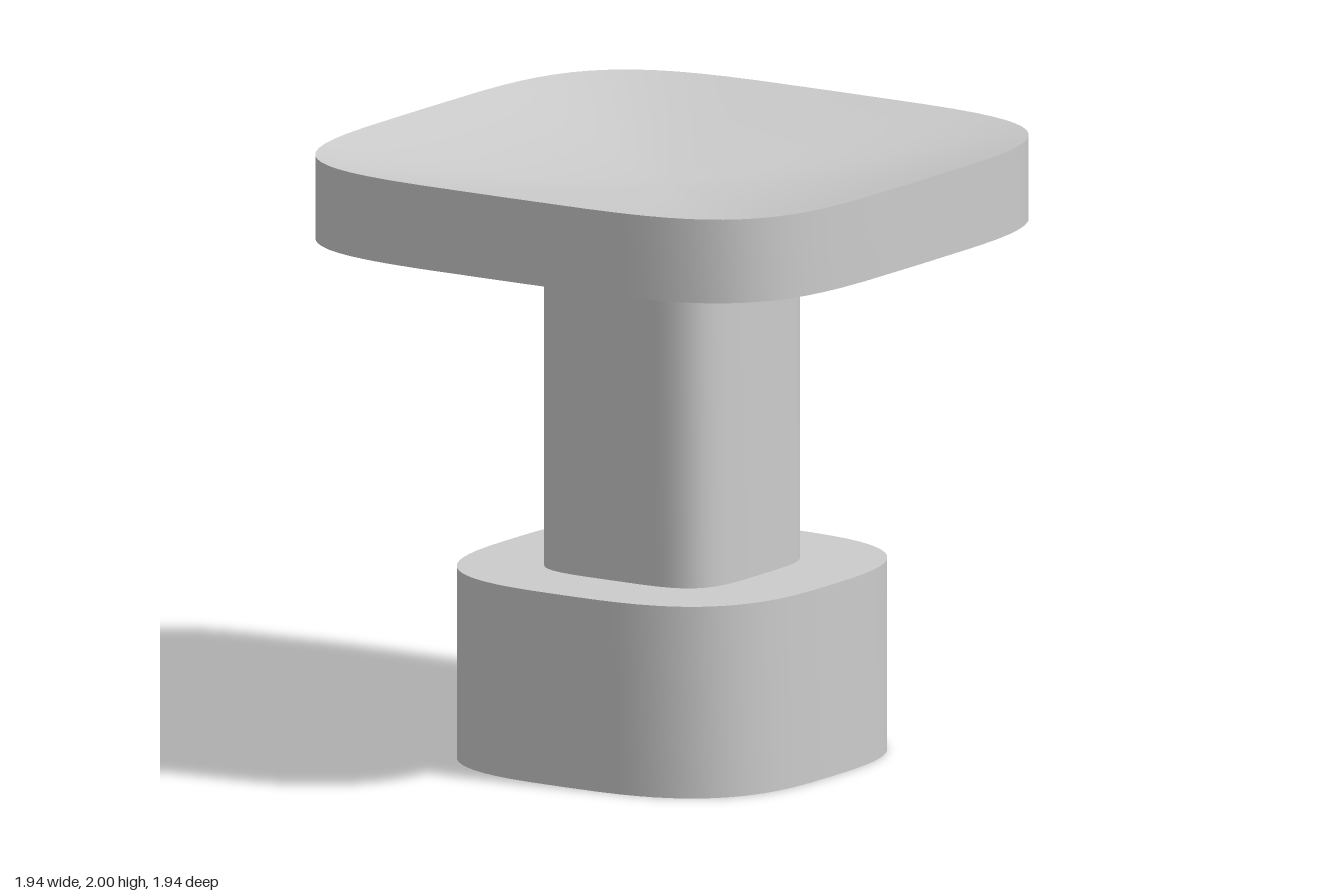
import * as THREE from 'three';
import { toCreasedNormals } from 'three/addons/utils/BufferGeometryUtils.js';

const material = new THREE.MeshStandardMaterial({ color: 0xcccccc });

// Rounded-square outline in x and z; a higher exponent makes squarer corners
function squareOutline(halfWidth, exponent, count = 64) {
  const bulge = (v) => halfWidth * Math.sign(v) * Math.abs(v) ** (2 / exponent);
  return Array.from({ length: count }, (_, i) => {
    const t = (i / count) * Math.PI * 2;
    return [bulge(Math.cos(t)), bulge(Math.sin(t))];
  });
}

// Skin through scaled copies of the outline; sections are [scale, y], from bottom centre to top centre
function loft(name, outline, sections) {
  const n = outline.length;
  const positions = [];
  const put = (i, [s, y]) => positions.push(outline[i % n][0] * s, y, outline[i % n][1] * s);
  for (let j = 0; j < sections.length - 1; j++) {
    const low = sections[j], high = sections[j + 1];
    for (let i = 0; i < n; i++) {
      if (high[0] > 0) { put(i, low); put(i, high); put(i + 1, high); }
      if (low[0] > 0) { put(i, low); put(i + 1, high); put(i + 1, low); }
    }
  }
  const geometry = new THREE.BufferGeometry();
  geometry.setAttribute('position', new THREE.Float32BufferAttribute(positions, 3));
  const mesh = new THREE.Mesh(toCreasedNormals(geometry, 0.6), material);
  mesh.name = name;
  return mesh;
}

const block = (name, outline, y0, y1) => loft(name, outline, [[0, y0], [1, y0], [1, y1], [0, y1]]);

// Rings from centre to rim of a shallow curved hollow
function hollow(rimY, centreOffset, rings = 10) {
  return Array.from({ length: rings + 1 }, (_, k) => {
    const s = k / rings;
    return [s, rimY + centreOffset * (1 - s ** 1.8)];
  });
}

export function createModel() {
  const group = new THREE.Group();
  group.name = 'pedestal';

  group.add(block('base', squareOutline(0.622, 3), 0, 0.63));
  // The stem runs up into the hollow underside of the head
  group.add(block('stem', squareOutline(0.347, 4.2), 0.63, 1.82));

  // Wide head, hollowed on top and underneath
  const underside = hollow(1.725, 0.1);
  const top = hollow(2, -0.13).reverse();
  group.add(loft('dishedHead', squareOutline(0.968, 4.2), [...underside, ...top]));

  return group;
}
